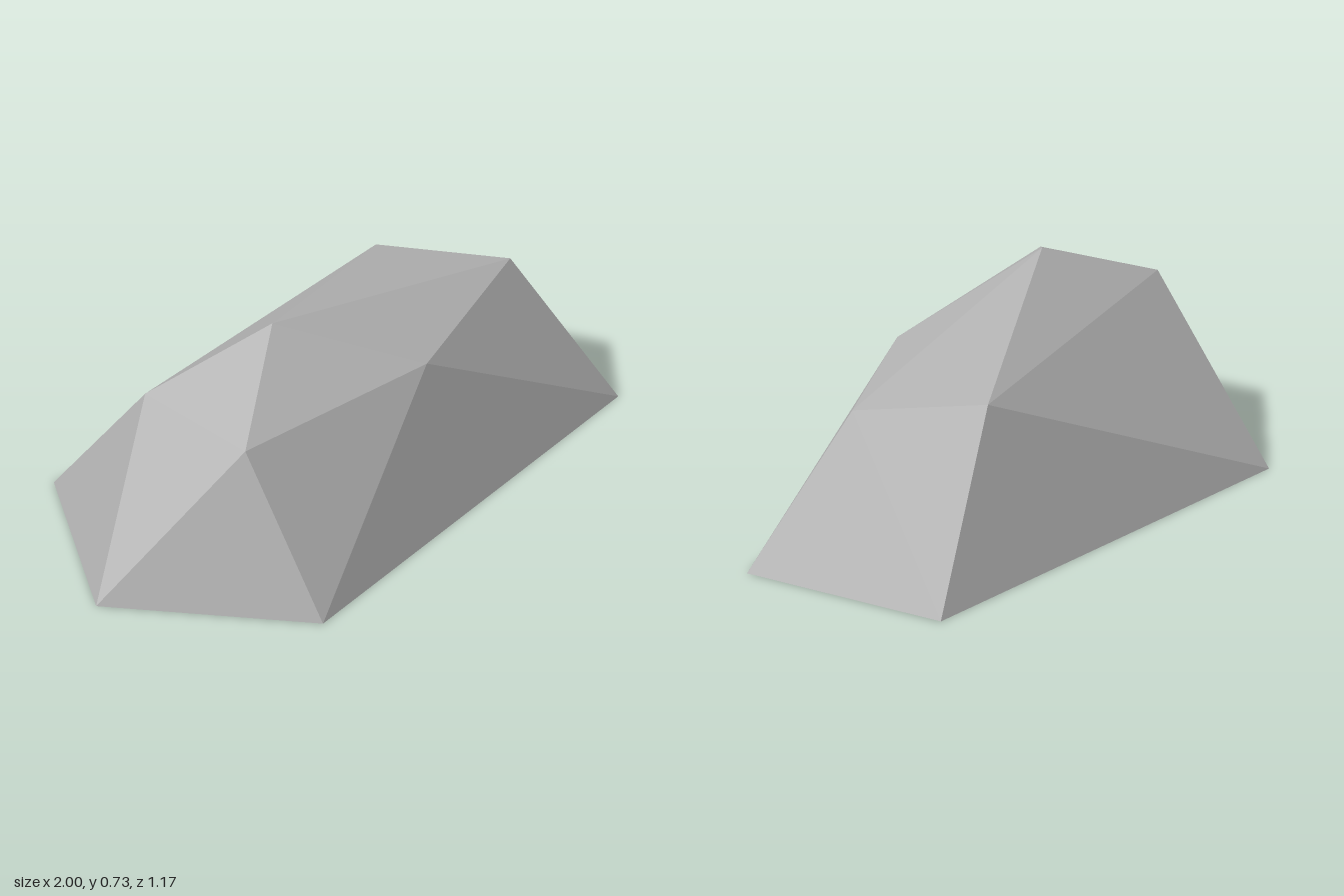
import * as THREE from 'three';

// Ground outline, shoulder ring and the two end points of the boulder
const base = [[-1, 0, 0], [-0.58, 0, 0.585], [1, 0, 0.36], [1, 0, -0.36], [-0.58, 0, -0.585]];
const shoulder = [[-0.63, 0.54, 0.295], [0.16, 0.51, 0.33], [0.76, 0.525, 0.12], [0.515, 0.535, -0.23], [-0.63, 0.56, -0.14]];
const peak = [-0.25, 0.73, 0.05];
const underside = [-0.35, 0.02, -0.05];

function facetedRock() {
  const positions = [];
  const tri = (a, b, c) => positions.push(...a, ...b, ...c);
  const n = base.length;
  for (let i = 0; i < n; i++) {
    const j = (i + 1) % n;
    tri(base[i], base[j], shoulder[i]); // side facets
    tri(base[j], shoulder[j], shoulder[i]);
    tri(peak, shoulder[i], shoulder[j]); // crown facets
    tri(underside, base[j], base[i]); // bottom facets
  }
  const geometry = new THREE.BufferGeometry();
  geometry.setAttribute('position', new THREE.Float32BufferAttribute(positions, 3));
  geometry.computeVertexNormals(); // unshared corners give flat facets
  return geometry;
}

export function createModel() {
  const stone = new THREE.MeshStandardMaterial({ color: 0xb4b4b4 });
  stone.name = 'grey stone';

  const rock = new THREE.Mesh(facetedRock(), stone);
  rock.name = 'rock';

  const model = new THREE.Group();
  model.name = 'boulder';
  model.add(rock);
  return model;
}
